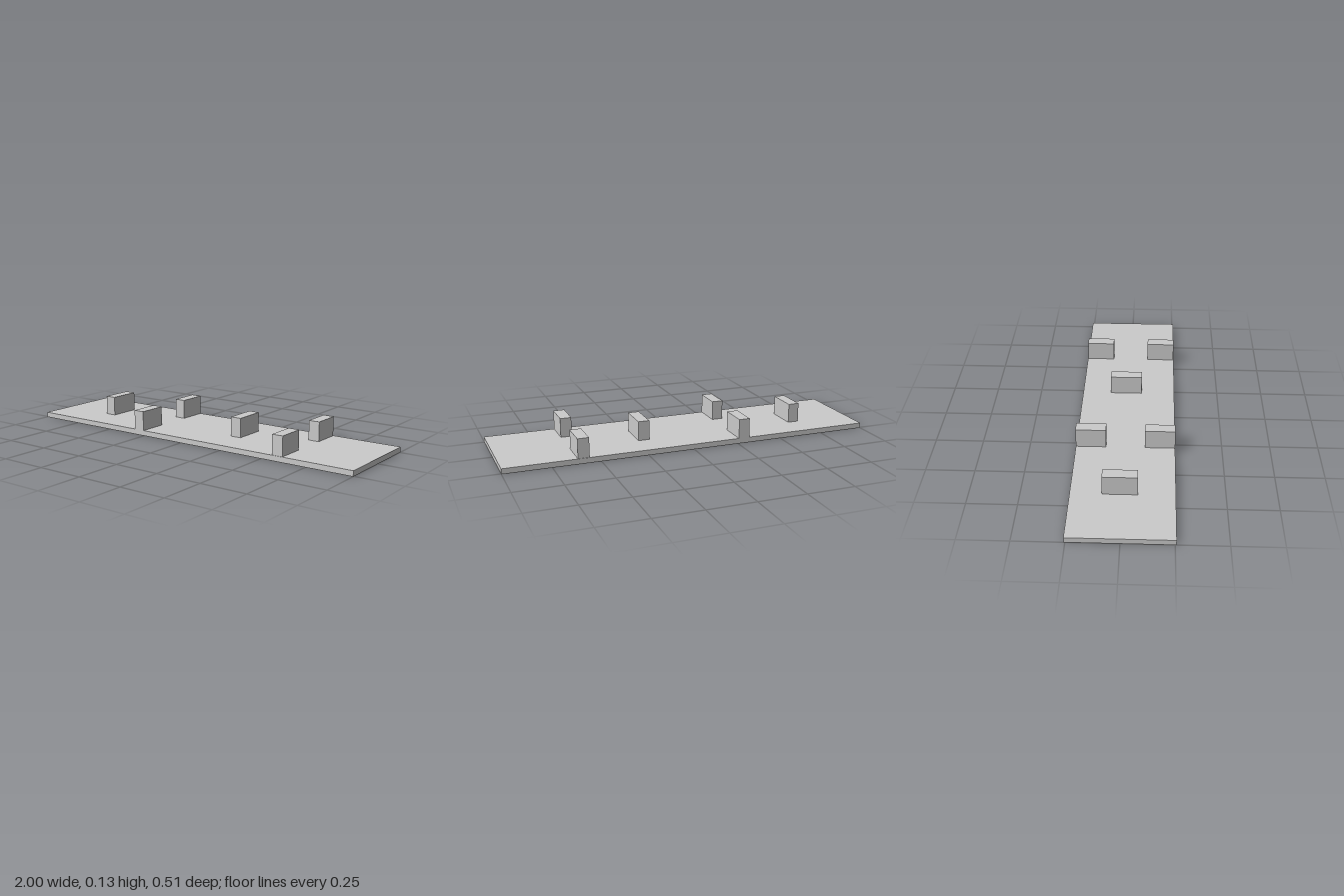
import * as THREE from 'three';

const DECK_TOP = 0.028, BLOCK_TOP = 0.132, HALF_DEPTH = 0.256;

export function createModel() {
  const model = new THREE.Group();
  model.name = 'plankDeck';
  const material = new THREE.MeshStandardMaterial({ color: 0xcccccc, flatShading: true });

  // Box spanning the given limits on each axis
  const addBox = (name, x0, x1, y0, y1, z0, z1) => {
    const mesh = new THREE.Mesh(new THREE.BoxGeometry(x1 - x0, y1 - y0, z1 - z0), material);
    mesh.position.set((x0 + x1) / 2, (y0 + y1) / 2, (z0 + z1) / 2);
    mesh.name = name;
    model.add(mesh);
  };

  // Deck of planks laid edge to edge, single and double width
  const seams = [-1, -0.878, -0.815, -0.752, -0.692, -0.565, -0.503, -0.442, -0.377,
    -0.315, -0.253, -0.19, -0.125, -0.065, 0.063, 0.122, 0.185, 0.25, 0.37, 0.437,
    0.5, 0.563, 0.688, 0.748, 0.812, 0.876, 1];
  for (let i = 0; i < seams.length - 1; i++) {
    addBox(`plank${i + 1}`, seams[i], seams[i + 1], 0, DECK_TOP, -HALF_DEPTH, HALF_DEPTH);
  }

  // Single blocks near the middle of the deck
  for (const x of [-0.661, 0.222]) {
    addBox('centreBlock', x - 0.03, x + 0.03, DECK_TOP, BLOCK_TOP, -0.1, 0.073);
  }

  // Pairs of blocks along the two long edges
  for (const [x, edge] of [[-0.285, HALF_DEPTH], [0.59, 0.253]]) {
    addBox('frontBlock', x - 0.03, x + 0.03, DECK_TOP, BLOCK_TOP, 0.1, edge);
    addBox('backBlock', x - 0.03, x + 0.03, DECK_TOP, BLOCK_TOP, -edge, -0.1);
  }
  return model;
}
